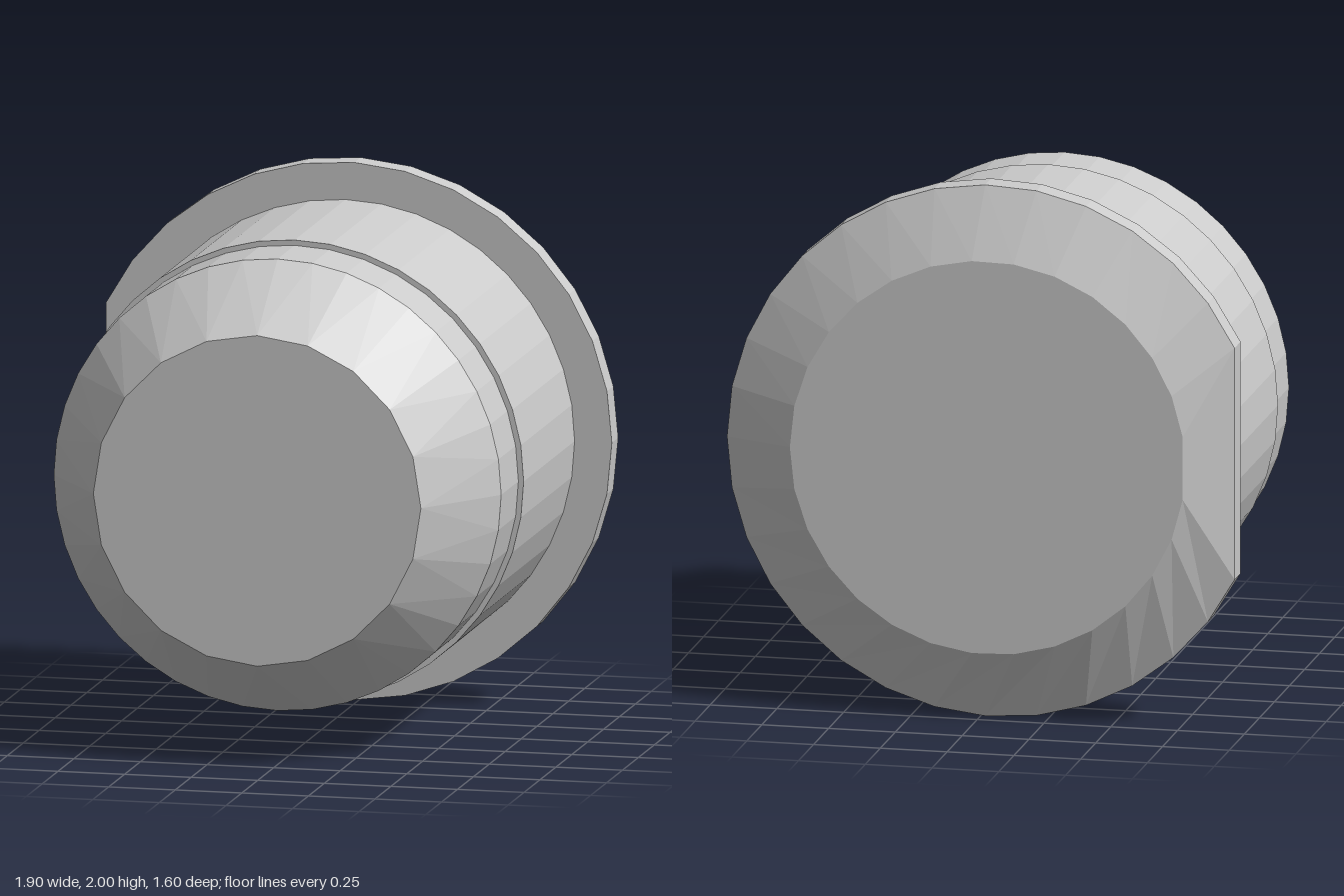
import * as THREE from 'three';

const CX = -0.05, CY = 1; // axis of the plug, running along z

// Arc of points around the axis, counter-clockwise seen from the front.
// step > 1 merges neighbouring points so that the edge gets fewer, longer sides.
function ring(radius, z, count, step = 1) {
  return Array.from({ length: count }, (_, i) => {
    const a = Math.floor(i / step) * step / count * Math.PI * 2;
    return new THREE.Vector3(CX + radius * Math.cos(a), CY + radius * Math.sin(a), z);
  });
}

// Ring with one straight side facing -x; half is half the angle of that side.
function flatRing(radius, z, count, half) {
  return Array.from({ length: count + 1 }, (_, i) => {
    const a = (Math.PI - half) * (2 * i / count - 1);
    return new THREE.Vector3(CX + radius * Math.cos(a), CY + radius * Math.sin(a), z);
  });
}

// Skin over rings listed from back to front, with optional end faces.
function loft(name, rings, backCap, frontCap) {
  const pos = [];
  const tri = (a, b, c) => {
    if (new THREE.Triangle(a, b, c).getArea() > 1e-7) {
      for (const p of [a, b, c]) pos.push(p.x, p.y, p.z);
    }
  };
  const n = rings[0].length;
  const first = rings[0], last = rings[rings.length - 1];
  const backMid = new THREE.Vector3(CX, CY, first[0].z);
  const frontMid = new THREE.Vector3(CX, CY, last[0].z);
  for (let i = 0; i < n; i++) {
    const j = (i + 1) % n;
    for (let k = 0; k + 1 < rings.length; k++) {
      const a = rings[k], b = rings[k + 1];
      tri(a[i], a[j], b[j]);
      tri(a[i], b[j], b[i]);
    }
    if (backCap) tri(backMid, first[j], first[i]);
    if (frontCap) tri(frontMid, last[i], last[j]);
  }
  const geo = new THREE.BufferGeometry();
  geo.setAttribute('position', new THREE.Float32BufferAttribute(pos, 3));
  geo.computeVertexNormals();
  const mesh = new THREE.Mesh(geo, new THREE.MeshStandardMaterial({ color: 0xcccccc, flatShading: true }));
  mesh.name = name;
  return mesh;
}

export function createModel() {
  const group = new THREE.Group();
  group.name = 'plug';

  // Chamfered flange with one flat side
  group.add(loft('flange', [
    flatRing(0.74, -0.8, 28, 0.16),
    flatRing(1, -0.69, 28, 0.451),
    flatRing(1, -0.59, 28, 0.451),
  ], true, true));

  // Main barrel
  group.add(loft('barrel', [ring(0.86, -0.59, 40), ring(0.86, 0.21, 40)], false, true));

  // Slightly narrower collar and tapered nose
  group.add(loft('nose', [
    ring(0.84, 0.21, 40),
    ring(0.84, 0.48, 40),
    ring(0.615, 0.8, 40, 2),
  ], false, true));

  return group;
}
